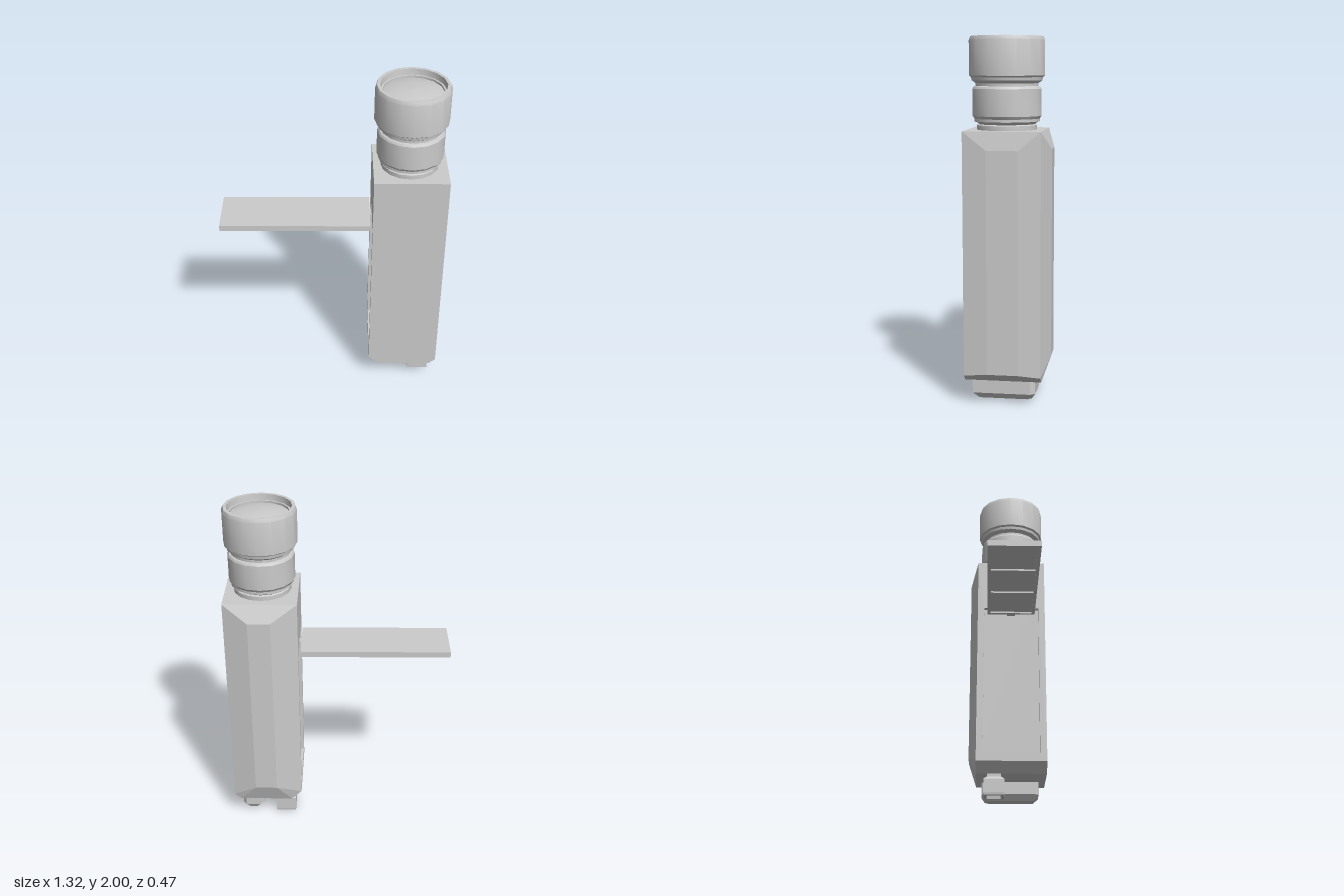
import * as THREE from 'three';
import { toCreasedNormals } from 'three/addons/utils/BufferGeometryUtils.js';
import { ConvexGeometry } from 'three/addons/geometries/ConvexGeometry.js';

const grey = new THREE.MeshStandardMaterial({ color: 0xcccccc });
const facet = new THREE.MeshStandardMaterial({ color: 0xcccccc, flatShading: true, side: THREE.DoubleSide });

const points = list => list.map(p => new THREE.Vector2(...p));
const vectors = list => list.map(p => new THREE.Vector3(...p));

// Rectangle outline from two corners
const rect = (a0, b0, a1, b1) => points([[a0, b0], [a1, b0], [a1, b1], [a0, b1]]);

function extrude(outline, holes, depth) {
  const shape = new THREE.Shape(outline);
  holes.forEach(h => shape.holes.push(new THREE.Path(h)));
  return new THREE.ExtrudeGeometry(shape, { depth, bevelEnabled: false });
}

export function createModel() {
  const group = new THREE.Group();
  const add = (name, geometry, material = facet, parent = group) => {
    const mesh = new THREE.Mesh(geometry, material);
    mesh.name = name;
    parent.add(mesh);
    return mesh;
  };

  // Body core with chamfered lower edges
  const body = new THREE.Group();
  body.name = 'body';
  group.add(body);
  const core = extrude(points([[0.25, 0.16], [0.28, 0.13], [0.6, 0.13], [0.64, 0.165], [0.64, 1.5], [0.25, 1.5]]), [], 0.42);
  add('bodyCore', core.translate(0, 0, -0.19), facet, body);

  // Frame around the recess that holds the folded panel
  const frame = extrude(rect(-0.19, 0.19, 0.23, 1.5), [rect(-0.15, 0.24, 0.19, 1.18)], 0.03);
  add('recessFrame', frame.rotateY(-Math.PI / 2).translate(0.25, 0, 0), facet, body);
  const wedge = extrude(points([[0.22, 0.19], [0.25, 0.16], [0.25, 0.19]]), [], 0.42);
  add('frameChamfer', wedge.translate(0, 0, -0.19), facet, body);

  // Bulged back and side faces
  const back = [[0.22, 0.19, -0.19], [0.28, 0.13, -0.19], [0.6, 0.13, -0.19], [0.64, 0.165, -0.19], [0.64, 1.5, -0.19], [0.22, 1.5, -0.19]];
  const side = [];
  for (const y of [0.25, 1.4]) for (const x of [0.37, 0.5]) back.push([x, y, -0.235]);
  for (const [x, ys, zs] of [[0.64, [0.165, 1.5], [-0.19, 0.23]], [0.657, [0.18, 1.4], [-0.07, 0.1]]])
    for (const y of ys) for (const z of zs) side.push([x, y, z]);
  add('backBulge', new ConvexGeometry(vectors(back)), facet, body);
  add('sideBulge', new ConvexGeometry(vectors(side)), facet, body);

  // Telescope barrel with grooves, rim and domed lens
  const barrel = new THREE.LatheGeometry(points([
    [0.165, 1.5], [0.165, 1.525], [0.155, 1.53], [0.165, 1.54], [0.18, 1.545], [0.18, 1.56], [0.19, 1.575],
    [0.19, 1.72], [0.183, 1.732], [0.172, 1.735], [0.172, 1.75], [0.194, 1.765], [0.197, 1.782], [0.208, 1.79],
    [0.208, 1.98], [0.2, 2], [0.182, 2], [0.178, 1.96],
  ]), 16);
  const lens = new THREE.LatheGeometry(points([[0.178, 1.95], [0.13, 1.963], [0.07, 1.972], [0, 1.975]]), 16);
  const lip = new THREE.LatheGeometry(points([[0.18, 1.965], [0.168, 1.965], [0.168, 1.945]]), 16);
  const telescope = new THREE.Group();
  telescope.name = 'telescope';
  telescope.position.set(0.427, 0, 0.02);
  group.add(telescope);
  add('barrel', toCreasedNormals(barrel, 0.45), grey, telescope);
  add('lensLip', toCreasedNormals(lip, 0.45), grey, telescope);
  add('lens', lens, grey, telescope);

  // Solar panel: plain slab above, three framed cells below
  const panel = new THREE.Group();
  panel.name = 'solarPanel';
  group.add(panel);
  add('panelSlab', new THREE.BoxGeometry(0.87, 0.025, 0.295).translate(-0.225, 1.1525, 0.0175), facet, panel);
  const cells = [0, 1, 2].map(i => rect(-0.64 + i * 0.282, -0.11, -0.374 + i * 0.282, 0.145));
  const cellFrame = extrude(rect(-0.66, -0.13, 0.21, 0.165), cells, 0.01);
  add('cellFrame', cellFrame.rotateX(Math.PI / 2).translate(0, 1.14, 0), facet, panel);
  add('hinge', new THREE.BoxGeometry(0.05, 0.02, 0.05).translate(0.23, 1.15, 0.0175), facet, panel);

  // Square nozzle, open at the bottom
  const nozzle = new THREE.LatheGeometry(points([
    [0, 0.04], [0.036, 0.04], [0.042, 0], [0.06, 0], [0.062, 0.015], [0.062, 0.095], [0.042, 0.112], [0.042, 0.135],
  ].map(([half, y]) => [half * Math.SQRT2, y])), 4);
  add('nozzle', nozzle.rotateY(Math.PI / 4).translate(0.322, 0, -0.082));

  // Long underside housing with a tapered bottom and cut back corners
  const housing = [];
  for (const [y, x, z0, z1] of [[0.135, 0.065, -0.155, 0.19], [0.055, 0.065, -0.155, 0.19], [0.02, 0.04, -0.135, 0.155]])
    for (const s of [-1, 1])
      housing.push([0.53 + s * x, y, z1], [0.53 + s * x, y, z0 + 0.025], [0.53 + s * (x - 0.02), y, z0]);
  add('undersideHousing', new ConvexGeometry(vectors(housing)));

  return group;
}
